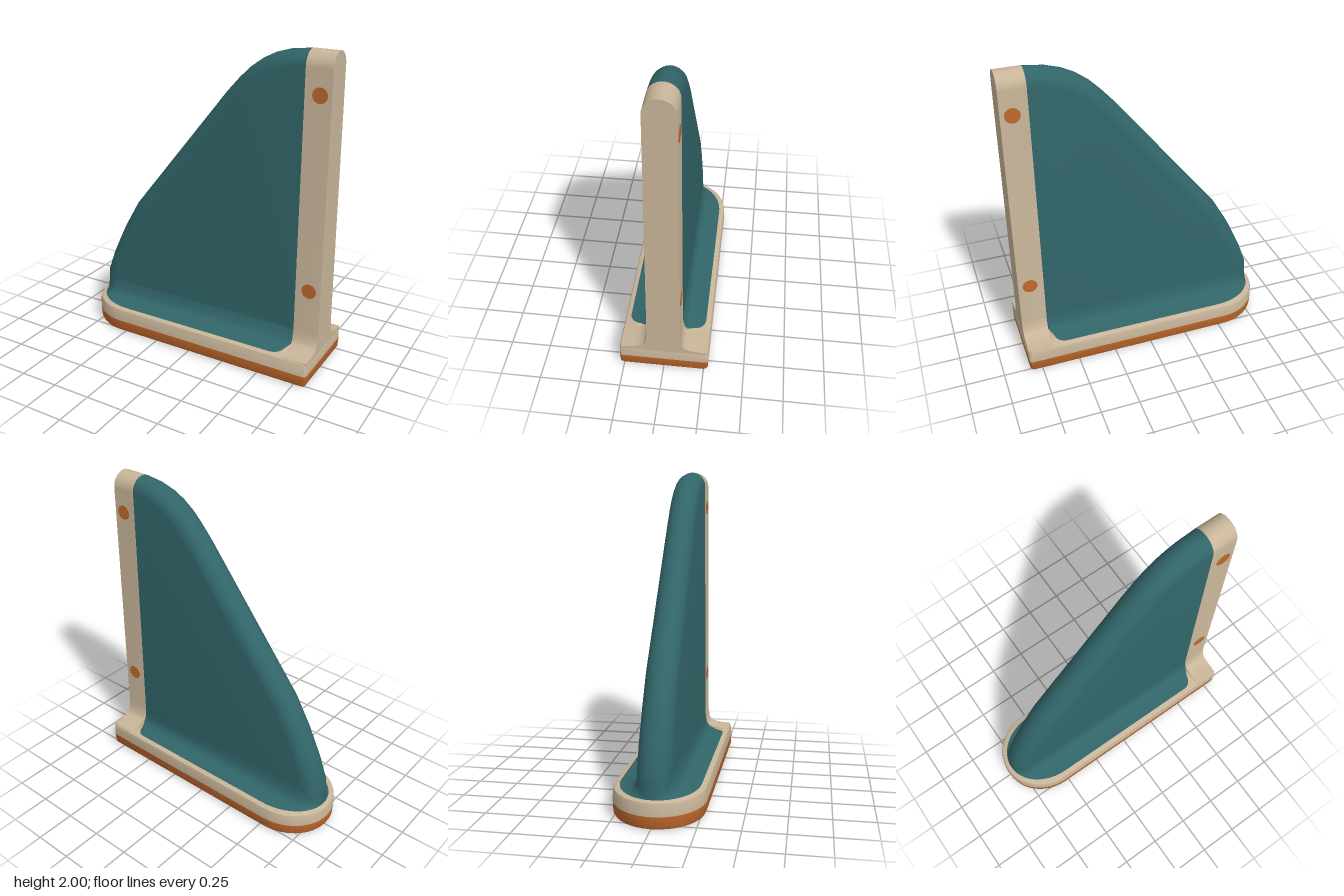
import * as THREE from 'three';
import { toCreasedNormals } from 'three/addons/utils/BufferGeometryUtils.js';

const paint = (name, color) => {
  const m = new THREE.MeshStandardMaterial({ color });
  m.name = name;
  return m;
};

// Skin a list of cross-sections, each a list of [x, y, z]
function loft(sections, closed, crease = 0.7) {
  const n = sections[0].length;
  const index = [];
  for (let i = 0; i < sections.length - 1; i++) {
    for (let j = 0; j < (closed ? n : n - 1); j++) {
      const k = (j + 1) % n;
      const a = i * n + j, b = a + n, c = i * n + k, d = c + n;
      index.push(a, b, c, b, d, c);
    }
  }
  const g = new THREE.BufferGeometry();
  g.setAttribute('position', new THREE.Float32BufferAttribute(sections.flat(2), 3));
  g.setIndex(index);
  return toCreasedNormals(g, crease);
}

// Plan outline: elliptical nose at the left, rounded corners at the right
function planRing(y, left, right, w, nose, corner) {
  const pts = [];
  const arc = (cx, cz, rx, rz, from, to, steps) => {
    for (let i = 0; i <= steps; i++) {
      const t = from + (to - from) * i / steps;
      pts.push([cx + rx * Math.cos(t), y, cz + rz * Math.sin(t)]);
    }
  };
  const H = Math.PI / 2;
  arc(right - corner, w - corner, corner, corner, 0, H, 4);
  arc(left + nose, 0, nose, w, H, 3 * H, 24);
  arc(right - corner, corner - w, corner, corner, -H, 0, 4);
  return pts;
}
const capRing = ring => ring.map(p => [0, p[1], 0]);

// Half thickness of the upright at a given height
const half = y => 0.104 - 0.007 * y;

export function createModel() {
  const model = new THREE.Group();
  const cream = paint('cream', 0xc8b599);
  const teal = paint('teal', 0x316569);
  const orange = paint('orange', 0xc0682c);
  const add = (name, geometry, material) => {
    const mesh = new THREE.Mesh(geometry, material);
    mesh.name = name;
    model.add(mesh);
    return mesh;
  };

  // Base slab in two layers: [height, inset]
  const slab = levels => levels.map(([y, s]) =>
    planRing(y, -0.835 + s, 0.832 - s, 0.279 - s, 0.305 - s, 0.02));
  const sole = slab([[0, 0.025], [0.006, 0.01], [0.02, 0.003], [0.08, 0]]);
  add('baseSole', loft([capRing(sole[0]), ...sole], true), orange);
  const deck = slab([[0.08, 0], [0.14, 0.002], [0.158, 0.008], [0.165, 0.022]]);
  add('baseDeck', loft([...deck, capRing(deck[3])], true), cream);

  // Flared foot of the fin: [height, half width, right end, corner radius]
  const foot = [
    [0.164, 0.25, 0.635, 0.07], [0.17, 0.2, 0.645, 0.05], [0.176, 0.165, 0.655, 0.03],
    [0.19, 0.13, 0.665, 0.01], [0.215, 0.113, 0.665, 0.005], [0.28, 0.1025, 0.665, 0.005],
  ].map(([y, w, right, c]) =>
    planRing(y, -0.802 + (y - 0.164) * 0.06, right, w, 1.25 * w, c));
  add('finFoot', loft(foot, true), teal);

  // Fin: a rounded ridge following the sloping edge, closed by flat sides
  const edge = [
    [-0.8, 0.165], [-0.79, 0.32], [-0.735, 0.47], [-0.64, 0.67], [-0.53, 0.86],
    [-0.46, 0.948], [0.07, 1.612], [0.14, 1.7], [0.22, 1.79], [0.29, 1.86],
    [0.37, 1.918], [0.45, 1.958], [0.54, 1.985], [0.668, 2],
  ].map(p => new THREE.Vector2(...p));
  const last = edge.length - 1;
  const fin = edge.map((p, i) => {
    const t = i === 0 ? new THREE.Vector2(0, 1)
      : i === last ? new THREE.Vector2(1, 0)
      : edge[i + 1].clone().sub(p).normalize().add(p.clone().sub(edge[i - 1]).normalize()).normalize();
    const r = half(p.y);
    const section = [[0.668, 0.165, half(0.165)]];
    for (let j = 0; j <= 12; j++) {
      const a = Math.PI * j / 12;
      const inset = r * (1 - Math.sin(a));
      section.push([p.x + t.y * inset, p.y - t.x * inset, r * Math.cos(a)]);
    }
    section.push([0.668, 0.165, -half(0.165)]);
    return section;
  });
  add('fin', loft(fin, false), teal);

  // Rear post with flared foot and rounded top
  const side = [[0.265, 0.15], [0.265, 0.165], [0.2, 0.17], [0.165, 0.176],
    [0.13, 0.19], [0.113, 0.215], [0.1025, 0.28]];
  for (let j = 0; j <= 8; j++) {
    const a = Math.PI / 2 * j / 8;
    side.push([half(1.91) * Math.cos(a), 1.91 + 0.09 * Math.sin(a)]);
  }
  const outline = [...side, ...side.slice(0, -1).reverse().map(([z, y]) => [-z, y])];
  const post = new THREE.ExtrudeGeometry(
    new THREE.Shape(outline.map(p => new THREE.Vector2(...p))),
    { depth: 0.164, bevelEnabled: false });
  post.rotateY(Math.PI / 2).translate(0.667, 0, 0);
  add('rearPost', toCreasedNormals(post, 0.7), cream);

  // Round fastener marks on both faces of the post
  for (const [x, y] of [[0.76, 1.76], [0.755, 0.56]]) {
    for (const s of [1, -1]) {
      const dot = add('fastener', new THREE.CylinderGeometry(0.047, 0.047, 0.006, 16), orange);
      dot.rotation.x = Math.PI / 2;
      dot.position.set(x, y, s * half(y));
    }
  }
  return model;
}
